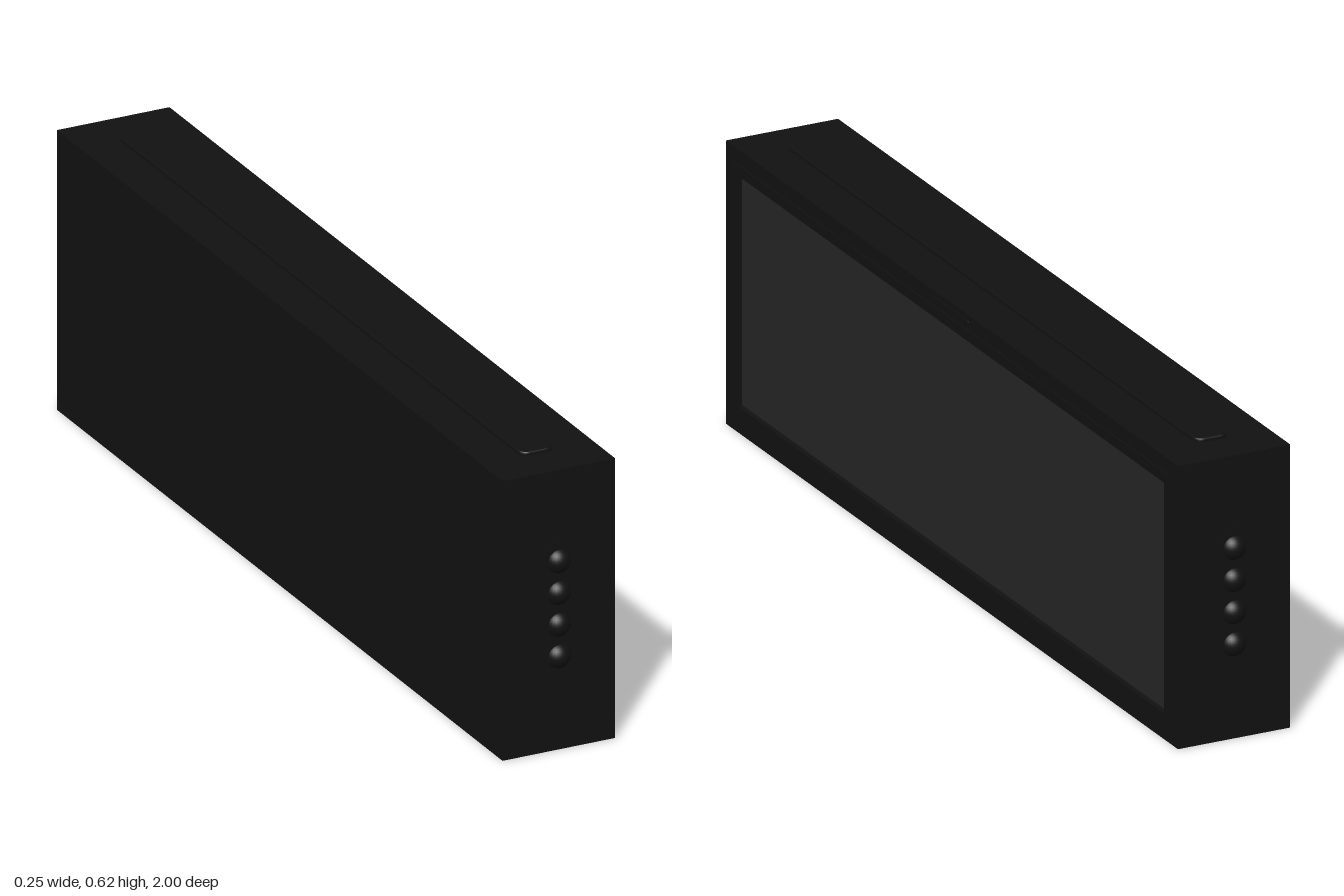
import * as THREE from 'three';

const bodyMat = new THREE.MeshStandardMaterial({ color: 0x111111 });
const grilleMat = new THREE.MeshStandardMaterial({ color: 0x262626 });

const CX = -0.002, HEIGHT = 0.608, MID = HEIGHT / 2, HALF_LENGTH = 0.98;
const BACK = -0.128, FACE = 0.124, RECESS = 0.112;

// Rectangle outline with rounded corners, centred on the origin
function roundedRect(w, h, r, Path = THREE.Shape) {
  const s = new Path(), x = w / 2, y = h / 2;
  s.moveTo(-x + r, -y);
  s.lineTo(x - r, -y);
  if (r) s.absarc(x - r, -y + r, r, -Math.PI / 2, 0);
  s.lineTo(x, y - r);
  if (r) s.absarc(x - r, y - r, r, 0, Math.PI / 2);
  s.lineTo(-x + r, y);
  if (r) s.absarc(-x + r, y - r, r, Math.PI / 2, Math.PI);
  s.lineTo(-x, -y + r);
  if (r) s.absarc(-x + r, -y + r, r, Math.PI, Math.PI * 1.5);
  return s;
}

// Plate with an optional rectangular opening and bevelled front edge
function plate(w, h, depth, r = 0, hole = null, bevel = 0) {
  const shape = roundedRect(w - 2 * bevel, h - 2 * bevel, Math.max(r - bevel, 0));
  if (hole) shape.holes.push(roundedRect(hole[0], hole[1], 0, THREE.Path));
  return new THREE.ExtrudeGeometry(shape, {
    depth: depth - bevel, curveSegments: 8, bevelEnabled: bevel > 0,
    bevelSize: bevel, bevelThickness: bevel, bevelSegments: 3,
  });
}

export function createModel() {
  const model = new THREE.Group();
  const add = (name, geo, mat, x, y, z, parent = model) => {
    const mesh = new THREE.Mesh(geo, mat);
    mesh.name = name;
    mesh.position.set(x, y, z);
    parent.add(mesh);
    return mesh;
  };
  // Parts on the wide face point towards +x
  const addToFace = (name, geo, mat, x, y, z = 0) => add(name, geo.rotateY(Math.PI / 2), mat, x, y, z);

  // Case and the frame around the recessed grille
  add('case', new THREE.BoxGeometry(RECESS - BACK, HEIGHT, HALF_LENGTH * 2), bodyMat, (RECESS + BACK) / 2, MID, 0);
  addToFace('faceFrame', plate(HALF_LENGTH * 2, HEIGHT, FACE - RECESS, 0, [1.85, 0.495]), bodyMat, RECESS, MID);
  addToFace('grilleRim', plate(1.9, 0.54, 0.003, 0, [1.85, 0.495]), bodyMat, FACE, 0.306);
  addToFace('grille', plate(1.85, 0.495, 0.004), grilleMat, RECESS, 0.306);
  addToFace('faceTab', plate(0.15, 0.009, 0.003, 0.004), bodyMat, FACE, 0.592);

  // Long raised strip on the top
  const strip = plate(0.075, 1.78, 0.012, 0.02, null, 0.004).rotateX(-Math.PI / 2);
  add('topStrip', strip, bodyMat, CX, HEIGHT - 0.004, 0);

  // Matching ends: thin panel, rounded pad and four domed buttons
  for (const side of [1, -1]) {
    const end = new THREE.Group();
    end.name = side > 0 ? 'frontEnd' : 'backEnd';
    end.scale.z = 1;
    add('endPanel', plate(0.23, 0.584, 0.001), bodyMat, 0, MID, HALF_LENGTH, end);
    add('buttonPad', plate(0.07, 0.3, 0.002, 0.034), bodyMat, 0, 0.306, HALF_LENGTH + 0.001, end);
    for (let i = 0; i < 4; i++) {
      add('button', new THREE.SphereGeometry(0.028, 24, 16), bodyMat, 0, 0.203 + i * 0.069, 0.972, end);
    }
    end.position.x = CX;
    if (side < 0) end.rotation.y = Math.PI;
    model.add(end);
  }
  return model;
}
